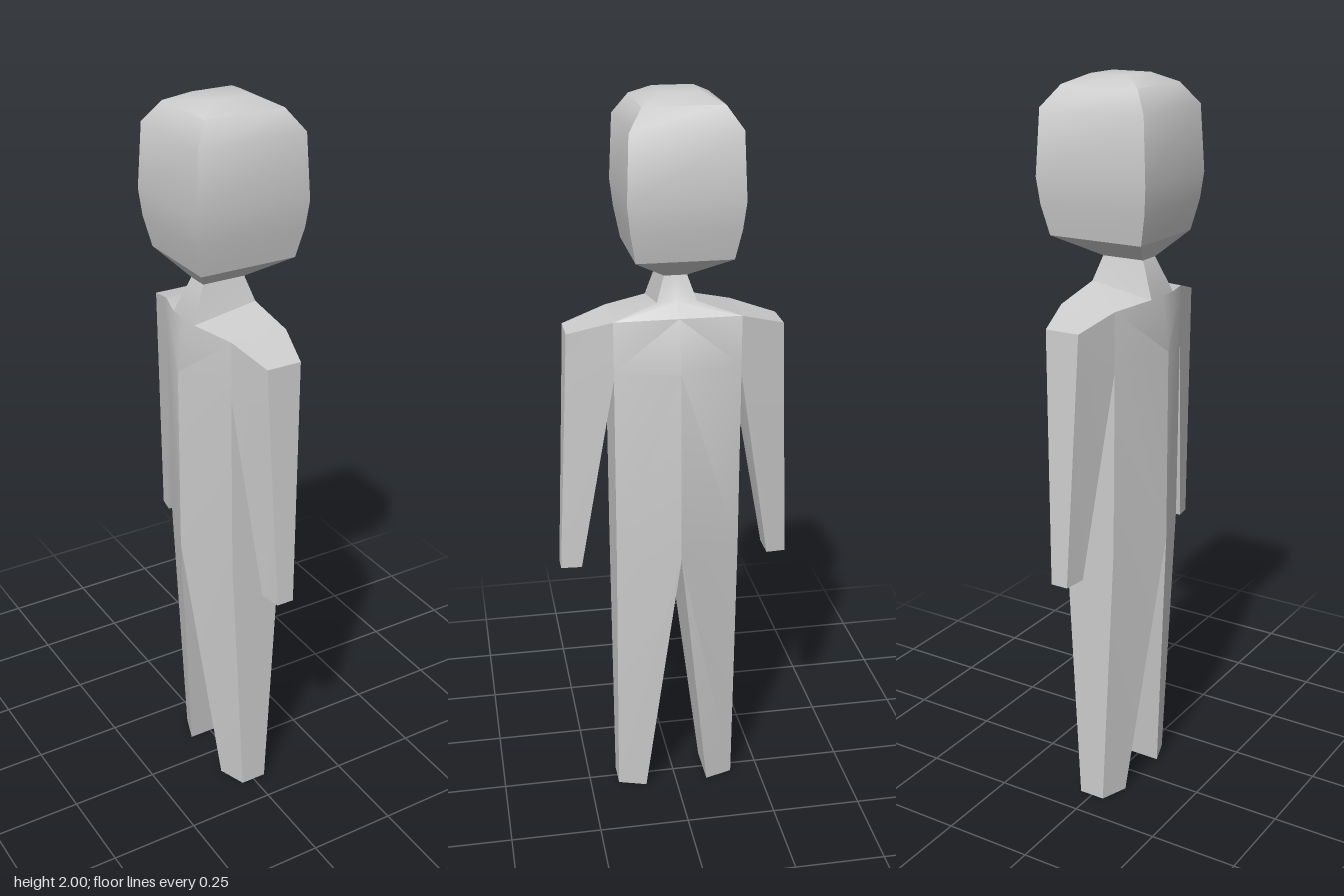
import * as THREE from 'three';
import { toCreasedNormals } from 'three/addons/utils/BufferGeometryUtils.js';

const material = new THREE.MeshStandardMaterial({ color: 0xcccccc });

// Skins four-cornered rings from bottom to top; each ring runs anticlockwise seen from above.
function skin(out, rings, { flip = false, keep = () => true, caps = true } = {}) {
  const put = (p) => out.push(p[0], p[1], flip ? -p[2] : p[2]);
  const tri = (a, b, c) => (flip ? [a, c, b] : [a, b, c]).forEach(put);
  const quad = (a, b, c, d) => { tri(a, b, c); tri(a, c, d); };
  for (let r = 0; r < rings.length - 1; r++) {
    const lo = rings[r], hi = rings[r + 1];
    for (let i = 0; i < 4; i++) {
      const j = (i + 1) % 4;
      if (keep(r, i)) quad(lo[i], lo[j], hi[j], hi[i]);
    }
  }
  if (caps) {
    const b = rings[0], t = rings[rings.length - 1];
    quad(b[3], b[2], b[1], b[0]);
    quad(t[0], t[1], t[2], t[3]);
  }
}

function makeMesh(name, positions, crease) {
  let geometry = new THREE.BufferGeometry();
  geometry.setAttribute('position', new THREE.Float32BufferAttribute(positions, 3));
  geometry = toCreasedNormals(geometry, crease);
  const mesh = new THREE.Mesh(geometry, material);
  mesh.name = name;
  return mesh;
}

// Ring with an outer edge (z, half depth) and an inner edge (z, back x, front x)
const halfRing = (y, zOut, xOut, zIn, xBack, xFront) => [
  [xOut, y, zOut], [xFront, y, zIn], [xBack, y, zIn], [-xOut, y, zOut],
];

// Ring of the head: rectangle centred on z = zc
const headRing = (y, xBack, xFront, hz, zc = -0.008) => [
  [xFront, y, zc + hz], [xFront, y, zc - hz], [xBack, y, zc - hz], [xBack, y, zc + hz],
];

export function createModel() {
  const group = new THREE.Group();
  group.name = 'figure';

  // Legs, torso, shoulders and neck: one half, mirrored across the middle
  const half = [
    halfRing(0, 0.168, 0.037, 0.09, -0.065, 0.062),
    halfRing(0.775, 0.168, 0.075, 0, -0.14, 0.137),
    halfRing(1.3, 0.168, 0.08, 0, -0.14, 0.13),
    [[0.08, 1.435, 0.168], [0.095, 1.44, 0], [-0.12, 1.445, 0], [-0.08, 1.435, 0.168]],
    [[0.06, 1.475, 0.052], [0.06, 1.475, 0], [-0.12, 1.447, 0], [-0.12, 1.447, 0.055]],
    halfRing(1.54, 0.03, 0.04, 0, -0.08, 0.04),
  ];
  half[5][3][0] = -0.08;
  const body = [];
  for (const flip of [false, true]) {
    // The middle side is only open between the legs
    skin(body, half, { flip, keep: (r, i) => i !== 1 || r === 0 });
  }
  group.add(makeMesh('body', body, 0.66));

  // Arms, hanging outwards from the shoulders
  const armRings = [
    [[0.024, 0.72, 0.316], [0.037, 0.725, 0.26], [-0.037, 0.725, 0.26], [-0.024, 0.72, 0.316]],
    halfRing(1.28, 0.291, 0.044, 0.168, -0.08, 0.08),
    [[0.048, 1.4, 0.286], [0.08, 1.435, 0.168], [-0.08, 1.435, 0.168], [-0.048, 1.4, 0.286]],
  ];
  for (const flip of [false, true]) {
    const arm = [];
    skin(arm, armRings, { flip });
    group.add(makeMesh(flip ? 'backSideArm' : 'frontSideArm', arm, 0.5));
  }

  // Head: rounded block, with a hard edge at the jaw
  const jawLine = headRing(1.6, -0.135, 0.135, 0.125);
  const head = [];
  skin(head, [
    jawLine,
    headRing(1.68, -0.153, 0.153, 0.14),
    headRing(1.75, -0.16, 0.16, 0.148),
    headRing(1.92, -0.15, 0.15, 0.141),
    headRing(1.975, -0.11, 0.11, 0.103),
    headRing(2, -0.056, 0.056, 0.052),
  ]);
  group.add(makeMesh('head', head, 0.66));

  const jaw = [];
  skin(jaw, [headRing(1.54, -0.08, 0.04, 0.03, 0), jawLine]);
  group.add(makeMesh('jaw', jaw, 0.4));

  return group;
}
